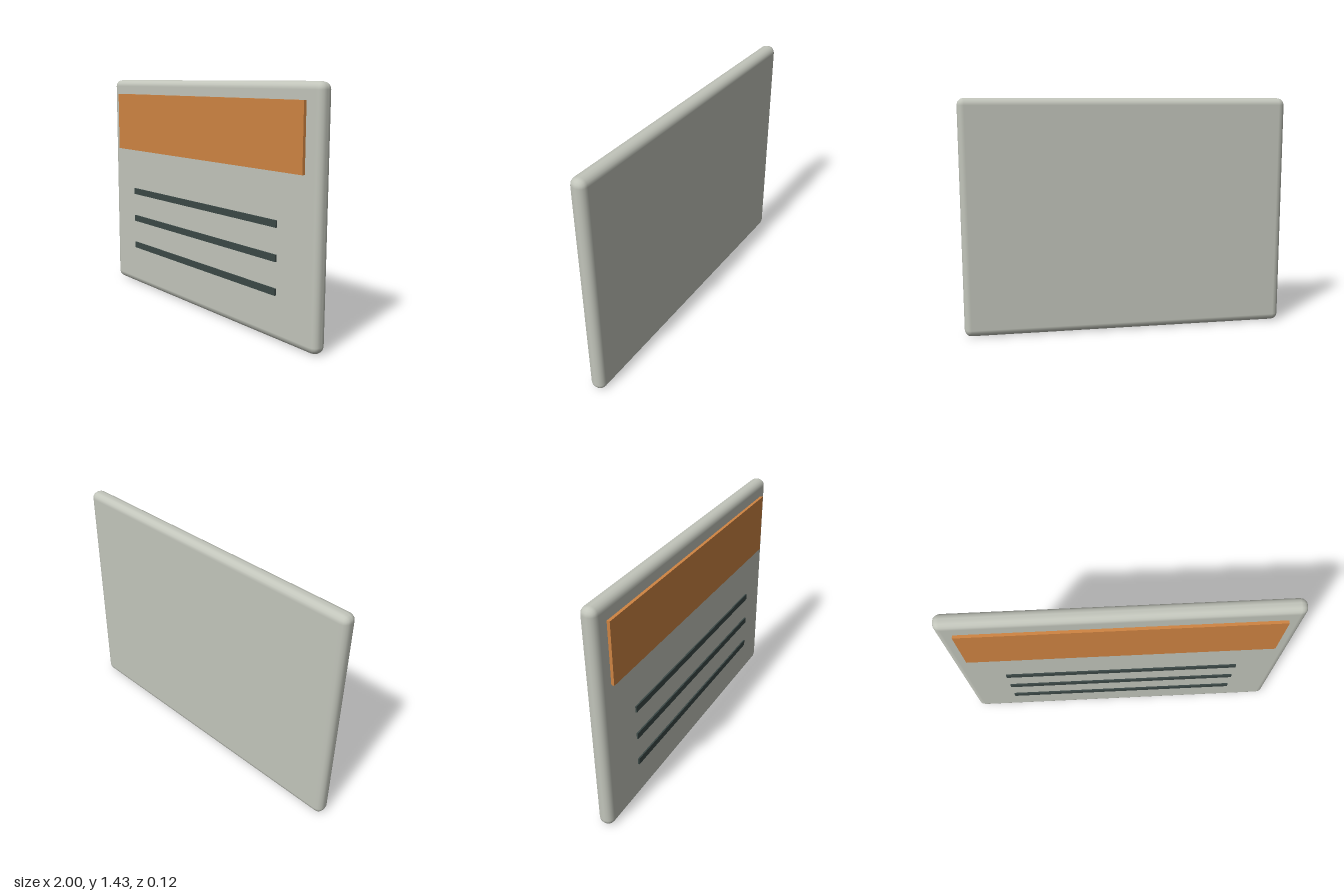
import * as THREE from 'three';
import { RoundedBoxGeometry } from 'three/addons/geometries/RoundedBoxGeometry.js';

function material(name, color) {
  const m = new THREE.MeshStandardMaterial({ color });
  m.name = name;
  return m;
}

export function createModel() {
  const group = new THREE.Group();
  group.name = 'signBoard';
  const stone = material('pale grey', 0xc2c5bb);
  const orange = material('orange', 0xcf8442);
  const dark = material('dark slate', 0x3b4846);

  const add = (name, geometry, mat, y, z) => {
    const mesh = new THREE.Mesh(geometry, mat);
    mesh.name = name;
    mesh.position.set(0, y, z);
    group.add(mesh);
  };

  // Rounded backing panel
  add('panel', new RoundedBoxGeometry(2, 1.43, 0.095, 2, 0.043), stone, 0.715, -0.011);

  // Header plate standing just proud of the panel
  add('headerPlate', new THREE.BoxGeometry(1.81, 0.38, 0.018), orange, 1.145, 0.051);

  // Three thin bars below the header
  [0.67, 0.48, 0.29].forEach((y, i) =>
    add(`lineBar${i + 1}`, new THREE.BoxGeometry(1.43, 0.04, 0.009), dark, y, 0.0555));

  return group;
}
